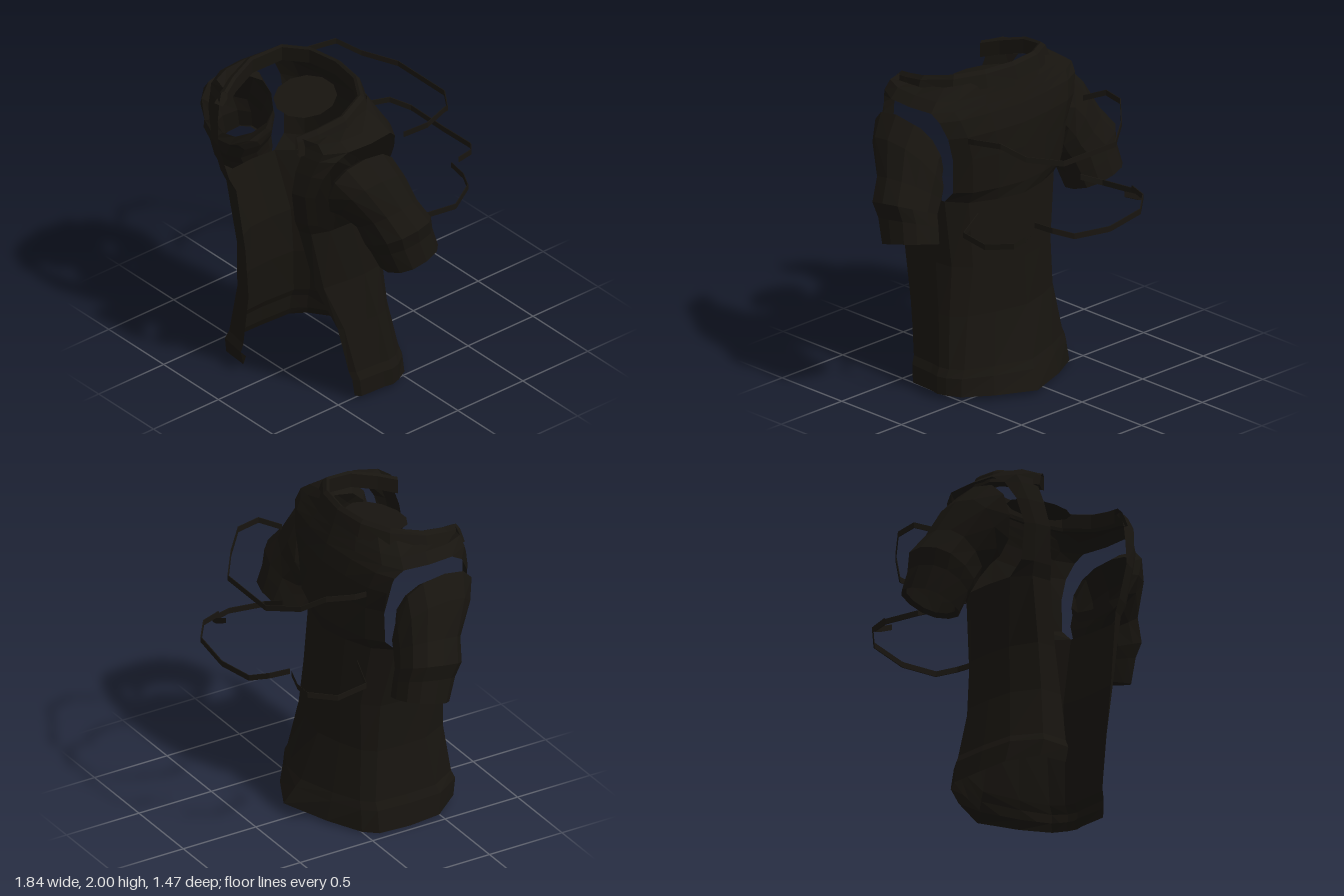
import * as THREE from 'three';

const cloth = new THREE.MeshStandardMaterial({ color: 0x17140f, side: THREE.DoubleSide, flatShading: true });

// Skin a grid of cross-sections (rows of [x, y, z]); skip(row, col) leaves a hole
function skin(name, rows, skip = () => false) {
  const n = rows[0].length, index = [];
  for (let r = 0; r < rows.length - 1; r++) {
    for (let c = 0; c < n - 1; c++) {
      if (skip(r, c)) continue;
      const a = r * n + c, b = a + 1, d = a + n, e = d + 1;
      index.push(a, d, b, b, d, e);
    }
  }
  const geo = new THREE.BufferGeometry();
  geo.setAttribute('position', new THREE.Float32BufferAttribute(rows.flat(2), 3));
  geo.setIndex(index);
  geo.computeVertexNormals();
  const mesh = new THREE.Mesh(geo, cloth);
  mesh.name = name;
  return mesh;
}

// Open-fronted body: each row is
// [y, right x, left x, back z, right edge z, left edge z, right edge x, left edge x, front arm inset, back arm z]
const bodyRows = [
  [0.08, -0.435, 0.55, -0.19, 0.67, 0.38, -0.14, 0.52, 0.2, 0.08], // turned-in hem
  [0.03, -0.46, 0.57, -0.24, 0.69, 0.39, -0.14, 0.52, 0.2, 0.08],
  [0.14, -0.44, 0.57, -0.18, 0.71, 0.4, -0.14, 0.51, 0.2, 0.08],
  [0.19, -0.415, 0.545, -0.15, 0.69, 0.41, -0.14, 0.49, 0.2, 0.08],
  [0.5, -0.37, 0.50, -0.06, 0.65, 0.47, -0.14, 0.46, 0.2, 0.12],
  [0.8, -0.37, 0.46, -0.04, 0.64, 0.58, -0.18, 0.38, 0.2, 0.14],
  [1.2, -0.45, 0.46, -0.03, 0.66, 0.66, -0.24, 0.33, 0.14, 0.2],
  [1.28, -0.46, 0.47, -0.04, 0.69, 0.69, -0.27, 0.33, 0.07, 0.12],
  [1.5, -0.48, 0.49, -0.04, 0.73, 0.73, -0.32, 0.35, 0.07, 0.1],
  [1.65, -0.53, 0.54, -0.03, 0.71, 0.71, -0.35, 0.36, 0.07, 0.09],
  [1.76, -0.57, 0.585, 0.0, 0.68, 0.68, -0.37, 0.38, 0.1, 0.12],
  [1.81, -0.59, 0.605, 0.02, 0.66, 0.66, -0.38, 0.39, 0.16, 0.17],
  [1.86, -0.52, 0.54, 0.04, 0.66, 0.66, -0.36, 0.37, 0.15, 0.19],
  [1.9, -0.42, 0.44, 0.07, 0.66, 0.66, -0.33, 0.34, 0.14, 0.22],
];

function bodyRow([y, xR, xL, zB, zR, zL, eR, eL, inset, ab]) {
  const xc = y < 0.3 ? 0.12 - 0.3 * y : 0.02;
  const t = Math.max(0, 1 - y / 0.8); // the back grows pointed towards the hem
  const half = (w, e, zF) => [
    [e, zF],
    [e + (w - e) * 0.6, zF - 0.03],
    [w * 0.98, zF - inset],
    [w, (zF - inset + ab) / 2],
    [w * 0.97, ab],
    [xc + (w - xc) * (0.77 + 0.1 * t), ab + (zB - ab) * (0.5 - 0.25 * t)],
    [xc + (w - xc) * (0.4 + 0.12 * t), ab + (zB - ab) * (0.82 - 0.2 * t)],
  ];
  return [...half(xR, eR, zR), [xc, zB], ...half(xL, eL, zL).reverse()].map(([x, z]) => {
    let h = y;
    if (y < 0.1) h = y + 0.1 * Math.max(0, z - 0.4) - 0.065 * Math.max(0, -x); // uneven hem
    if (y > 1.88) h = 1.95 - 0.2 * (z - 0.05);                                // neck slopes forward
    return [x, h, z];
  });
}

// Folded collar: a small section swept around the neck, dropping towards the front
function collar() {
  const side = [[0.31, 0.67], [0.36, 0.56], [0.4, 0.4], [0.345, 0.22], [0.2, 0.13]];
  const path = [...side.map(([x, z]) => [-x, z]), [0, 0.1], ...side.slice().reverse()];
  const section = [[0, -0.1], [0, -0.01], [0.02, 0], [0.05, -0.02], [0.085, -0.1], [0.03, -0.11]];
  const rows = path.map(([x, z], i) => {
    const p = path[Math.max(0, i - 1)], q = path[Math.min(path.length - 1, i + 1)];
    const dx = q[0] - p[0], dz = q[1] - p[1];
    const k = Math.min(1, 0.65 + z) / Math.hypot(dx, dz); // thinner at the nape
    const top = 2 - 0.14 * ((z - 0.1) / 0.57) ** 1.3;
    return section.map(([out, up]) => [x + dz * k * out, top + up, z - dx * k * out]);
  });
  return skin('collar', rows);
}

// Short puffed sleeve with a wide cuff; rings are
// [centre x, y, z, half-width x, y, half-depth y, z, lean of the upper side in z]
function sleeve(name) {
  const rings = [
    [0.525, 1.53, 0.37, 0.05, 0.17, 0, 0.22, 0.03],
    [0.565, 1.525, 0.38, 0.075, 0.225, 0, 0.25, 0.03],
    [0.62, 1.45, 0.33, 0.13, 0.18, 0, 0.23, 0.04],
    [0.67, 1.33, 0.27, 0.165, 0.11, -0.02, 0.185, 0.02],
    [0.735, 1.23, 0.24, 0.185, 0.085, -0.03, 0.19, 0],
    [0.735, 1.15, 0.21, 0.165, 0.065, -0.03, 0.18, 0],
    [0.755, 1.03, 0.17, 0.165, 0.045, -0.045, 0.165, 0],
    [0.755, 1.05, 0.175, 0.14, 0.04, -0.04, 0.14, 0],
  ];
  const sides = 12;
  const soft = (v) => Math.sign(v) * Math.abs(v) ** 0.85; // slightly squared section
  return skin(name, rings.map(([x, y, z, wx, wy, dy, dz, lean]) =>
    Array.from({ length: sides + 1 }, (_, i) => {
      const a = (i / sides) * Math.PI * 2, c = soft(Math.cos(a)), s = soft(Math.sin(a));
      return [x + wx * c, y + wy * c + dy * s, z + dz * s + lean * c];
    })));
}

// Thin upright ribbon along a path, with a little thickness outwards
function ribbon(name, path, height = 0.035, thick = 0.006) {
  const section = [[-0.5, 0], [0.5, 0], [0.5, 1], [-0.5, 1], [-0.5, 0]];
  return skin(name, section.map(([up, out]) => path.map(([x, y, z]) => {
    const k = (out * thick) / Math.hypot(x, z + 0.3);
    return [x * (1 + k), y + up * height, z + (z + 0.3) * k];
  })));
}
const mirrored = (half) => [...half.map(([x, y, z]) => [-x, y, z]), ...half.slice().reverse()];

export function createModel() {
  const group = new THREE.Group();
  group.name = 'jacket';

  // Body with armholes left open
  group.add(skin('body', bodyRows.map(bodyRow),
    (r, c) => r >= 6 && r < 11 && [2, 3, 10, 11].includes(c)));
  group.add(collar());

  // Sleeves
  const left = sleeve('leftSleeve'), right = sleeve('rightSleeve');
  right.scale.x = -1;
  group.add(left, right);

  // Neck disc
  const disc = new THREE.Mesh(new THREE.CircleGeometry(0.2, 12, Math.PI / 12), cloth);
  disc.name = 'neckDisc';
  disc.position.set(0.01, 1.85, 0.34);
  disc.rotation.x = -Math.PI / 2 + 0.22;
  disc.scale.y = 0.92;
  group.add(disc);

  // Loose cords trailing behind
  group.add(ribbon('upperCord', mirrored([
    [0.47, 1.66, -0.03], [0.54, 1.71, -0.15], [0.49, 1.72, -0.32],
    [0.39, 1.64, -0.43], [0.21, 1.6, -0.56]])));
  group.add(ribbon('rearCord', mirrored([
    [0.4, 1.25, -0.51], [0.37, 1.24, -0.63], [0.27, 1.2, -0.71], [0.01, 1.175, -0.73]])));
  const sidePath = [
    [0.42, 1.18, -0.06], [0.57, 1.11, -0.09], [0.61, 1.11, -0.31],
    [0.53, 1.14, -0.47], [0.46, 1.17, -0.495], [0.37, 1.21, -0.48]];
  for (const [name, s] of [['leftCord', 1], ['rightCord', -1]]) {
    group.add(ribbon(name, sidePath.map(([x, y, z]) => [s * x, y, z])));
  }
  return group;
}
